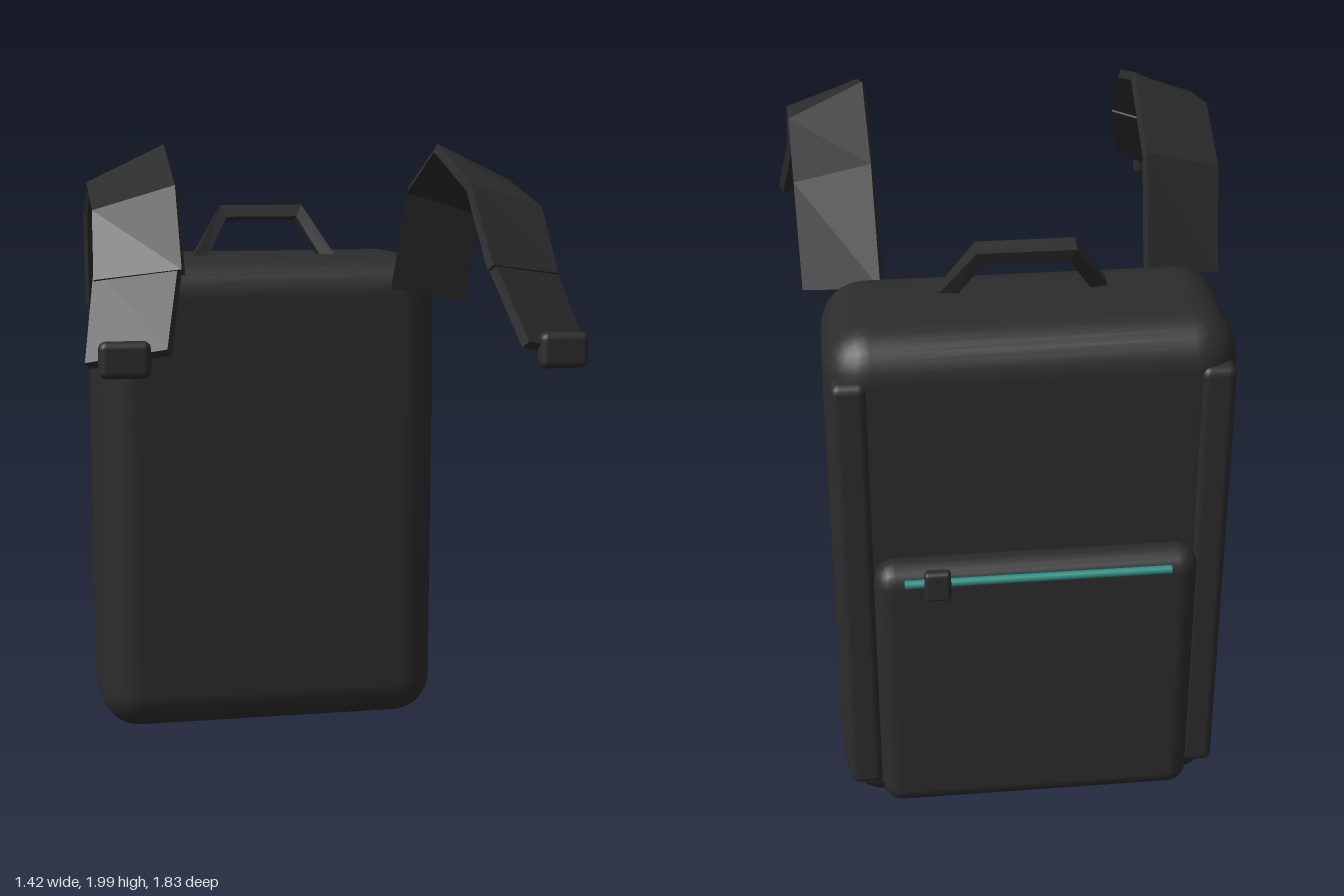
import * as THREE from 'three';
import { RoundedBoxGeometry } from 'three/addons/geometries/RoundedBoxGeometry.js';

const fabric = new THREE.MeshStandardMaterial({ color: 0x2c2c2c, name: 'charcoal fabric' });
const webbing = new THREE.MeshStandardMaterial({ color: 0x2c2c2c, name: 'charcoal webbing', flatShading: true });
const teal = new THREE.MeshStandardMaterial({ color: 0x2a9084, name: 'teal zip' });

function roundedPart(name, [x0, x1], [y0, y1], [z0, z1], radius, segments = 2) {
  const geo = new RoundedBoxGeometry(x1 - x0, y1 - y0, z1 - z0, segments, radius);
  const mesh = new THREE.Mesh(geo, fabric);
  mesh.position.set((x0 + x1) / 2, (y0 + y1) / 2, (z0 + z1) / 2);
  mesh.name = name;
  return mesh;
}

// Flat band: each section is [edgeA, edgeB] on the upper face, thickened downwards
function band(name, sections, thickness) {
  const pts = sections.map(s => s.map(p => new THREE.Vector3(...p)));
  const mids = pts.map(([a, b]) => a.clone().add(b).multiplyScalar(0.5));
  const pos = [], index = [], last = pts.length - 1;
  pts.forEach(([a, b], i) => {
    const along = mids[Math.min(i + 1, last)].clone().sub(mids[Math.max(i - 1, 0)]);
    const n = along.cross(b.clone().sub(a)).normalize().multiplyScalar(thickness);
    for (const p of [a, b, b.clone().sub(n), a.clone().sub(n)]) pos.push(p.x, p.y, p.z);
    if (i === last) return;
    for (let k = 0; k < 4; k++) {
      const p = i * 4 + k, q = i * 4 + (k + 1) % 4;
      index.push(p, p + 4, q + 4, p, q + 4, q);
    }
  });
  const e = last * 4;
  index.push(0, 1, 2, 0, 2, 3, e, e + 2, e + 1, e, e + 3, e + 2);
  const geo = new THREE.BufferGeometry();
  geo.setAttribute('position', new THREE.Float32BufferAttribute(pos, 3));
  geo.setIndex(index);
  const flat = geo.toNonIndexed();
  flat.computeVertexNormals();
  const mesh = new THREE.Mesh(flat, webbing);
  mesh.name = name;
  return mesh;
}

// Mirror sections to the other side, keeping the edges in +x order
const sided = (sections, s) => sections.map(([a, b]) => {
  const m = [a, b].map(([x, y, z]) => [x * s, y, z]);
  return s > 0 ? m : m.reverse();
});

export function createModel() {
  const bag = new THREE.Group();
  bag.name = 'backpack';

  // Main compartment and back pocket
  bag.add(roundedPart('body', [-0.58, 0.58], [0.01, 1.625], [-0.78, -0.27], 0.13, 3));
  bag.add(roundedPart('pocket', [-0.465, 0.465], [0.1, 0.96], [-0.89, -0.765], 0.06));

  // Pocket zip and its puller
  const zip = new THREE.Mesh(new THREE.CylinderGeometry(0.012, 0.012, 0.76, 8), teal);
  zip.rotation.z = Math.PI / 2;
  zip.position.set(0, 0.925, -0.892);
  zip.name = 'zip';
  bag.add(zip);
  bag.add(roundedPart('zipPuller', [0.25, 0.325], [0.875, 0.97], [-0.918, -0.883], 0.012));

  // Carry handle, leaning backwards
  bag.add(band('handle', [
    [[-0.25, 1.61, -0.415], [-0.25, 1.61, -0.465]],
    [[-0.14, 1.79, -0.495], [-0.14, 1.775, -0.545]],
    [[0.14, 1.79, -0.495], [0.14, 1.775, -0.545]],
    [[0.25, 1.61, -0.415], [0.25, 1.61, -0.465]],
  ], 0.045));

  const upper = [
    [[0.4, 1.53, -0.24], [0.63, 1.495, -0.155]],
    [[0.41, 1.86, -0.08], [0.64, 1.79, -0.03]],
    [[0.42, 2.0, 0.23], [0.65, 1.89, 0.23]],
    [[0.43, 1.89, 0.56], [0.66, 1.82, 0.52]],
    [[0.44, 1.67, 0.765], [0.67, 1.635, 0.65]],
  ];
  const lower = [
    [[0.44, 1.71, 0.72], [0.665, 1.67, 0.61]],
    [[0.5, 1.47, 0.915], [0.71, 1.425, 0.805]],
  ];
  for (const s of [1, -1]) {
    const side = s > 0 ? 'left' : 'right';
    // Piping strip beside the pocket
    const xs = s > 0 ? [0.46, 0.56] : [-0.56, -0.46];
    bag.add(roundedPart(side + 'BackStrip', xs, [0.11, 1.51], [-0.79, -0.68], 0.025));

    // Shoulder strap with its lower webbing and buckle
    const strap = new THREE.Group();
    strap.name = side + 'Strap';
    strap.add(band('shoulderPad', sided(upper, s), 0.028));
    strap.add(band('lowerWebbing', sided(lower, s), 0.03));
    const bx = s > 0 ? [0.54, 0.68] : [-0.68, -0.54];
    strap.add(roundedPart('buckle', bx, [1.39, 1.49], [0.855, 0.905], 0.02));
    bag.add(strap);
  }
  return bag;
}
